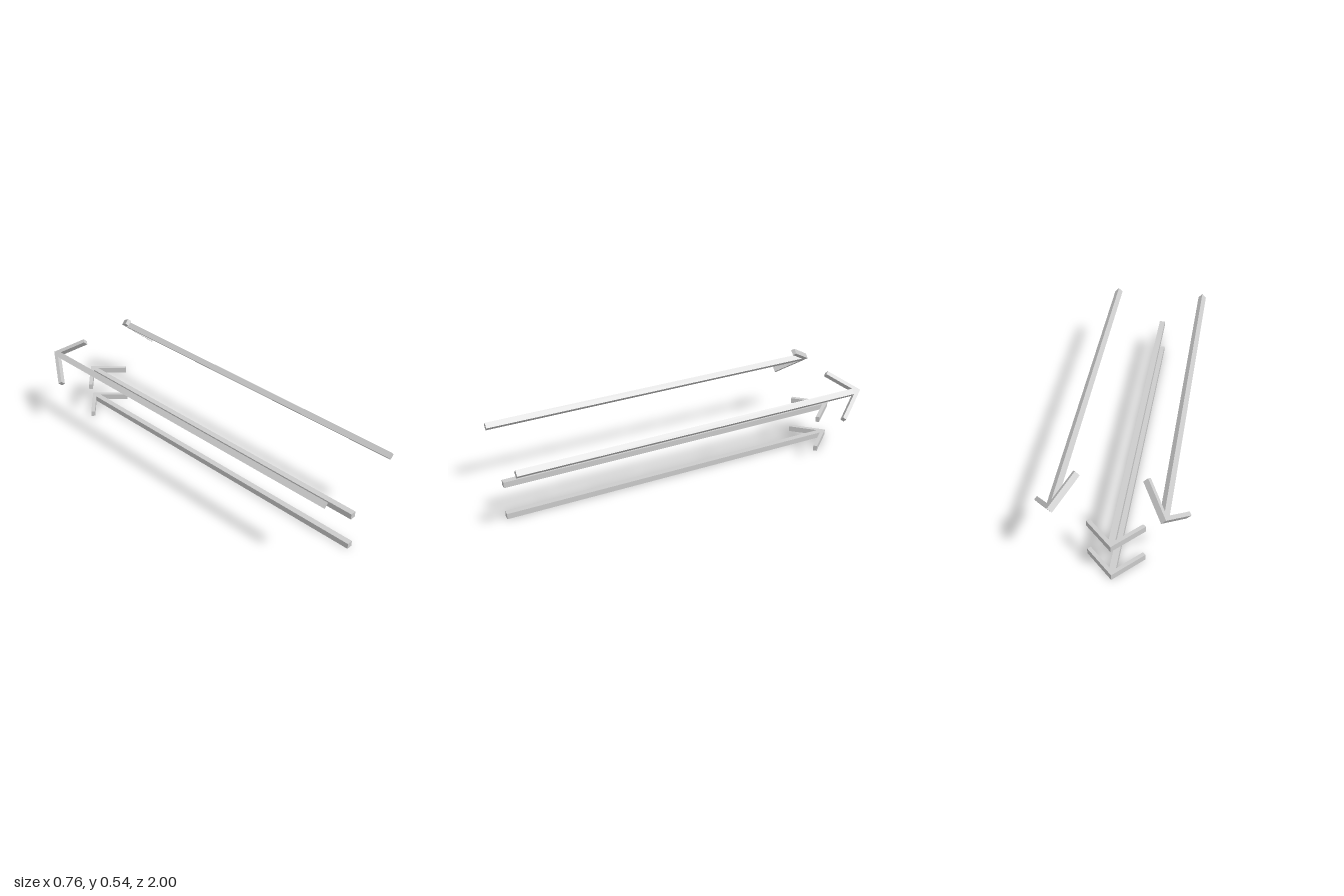
import * as THREE from 'three';

const THICK = 0.032;

// Arrow outline: half profile from tail to tip, mirrored for the other side
function arrowGeometry() {
  const half = [[0.0163, -1], [0.0163, 0.951], [0.131, 0.828], [0.1465, 0.843]];
  const mirrored = half.map(([x, y]) => [-x, y]).reverse();
  const outline = [...half, [0, 1], ...mirrored].map(([x, y]) => new THREE.Vector2(x, y));
  const geometry = new THREE.ExtrudeGeometry(new THREE.Shape(outline), { depth: THICK, bevelEnabled: false });
  geometry.translate(0, 0, -THICK / 2);
  geometry.rotateX(-Math.PI / 2); // lay flat, tip toward -z
  return geometry;
}

export function createModel() {
  const group = new THREE.Group();
  group.name = 'arrows';
  const material = new THREE.MeshStandardMaterial({ color: 0xcccccc, flatShading: true });
  const geometry = arrowGeometry();

  // name, x, y, roll about the shaft
  const arrows = [
    ['bottomArrow', -0.0165, THICK / 2, 0],
    ['middleArrow', -0.0165, 0.209, 0],
    ['upperRightArrow', -0.2635, 0.4225, Math.PI / 4],
    ['upperLeftArrow', 0.2625, 0.4225, -Math.PI / 4],
  ];
  for (const [name, x, y, roll] of arrows) {
    const arrow = new THREE.Mesh(geometry, material);
    arrow.name = name;
    arrow.position.set(x, y, 0);
    arrow.rotation.z = roll;
    group.add(arrow);
  }
  return group;
}
